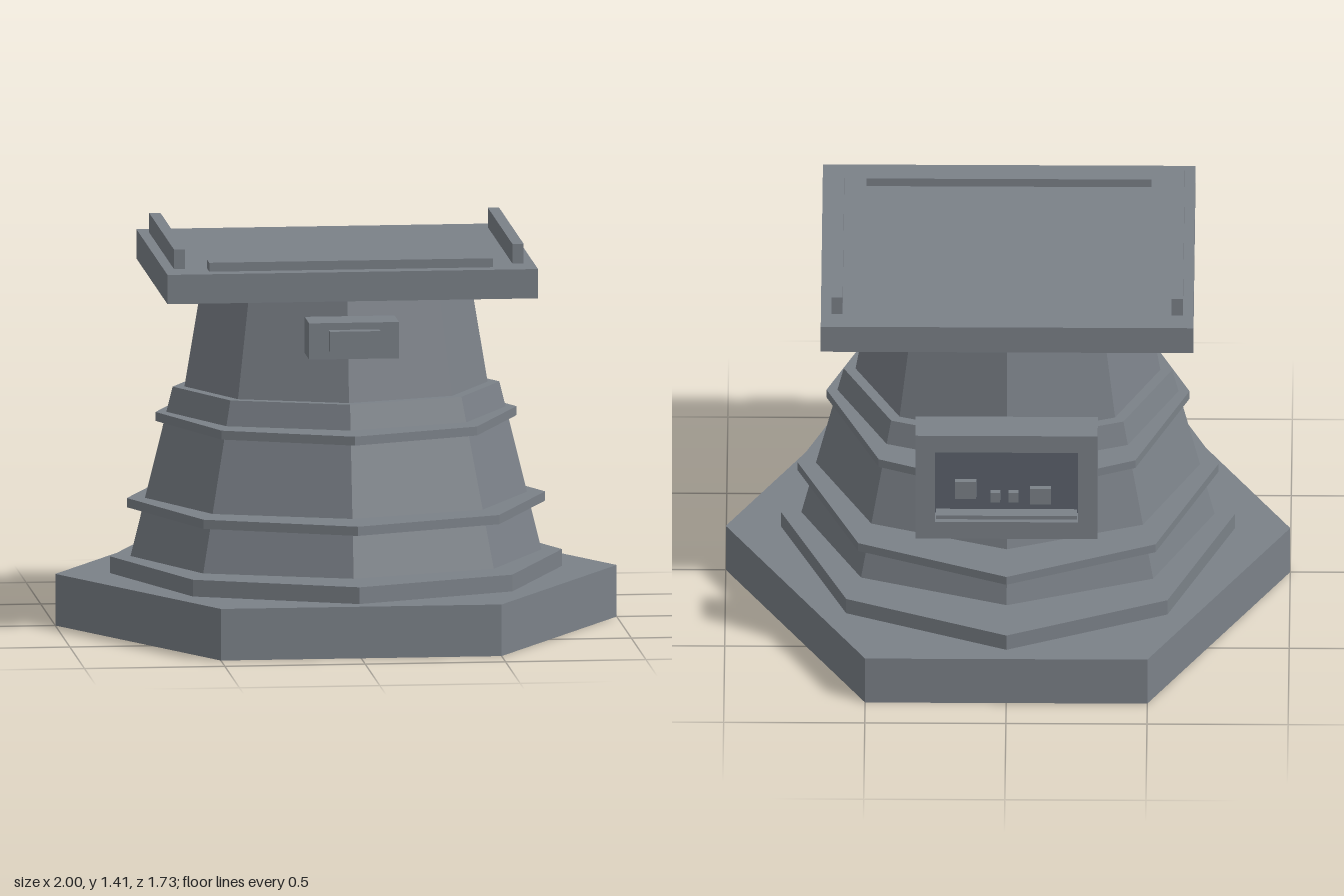
import * as THREE from 'three';

const hull = new THREE.MeshStandardMaterial({ color: 0x7b8188 });
hull.name = 'hull grey';
const screen = new THREE.MeshStandardMaterial({ color: 0x5c626d });
screen.name = 'screen slate';

export function createModel() {
  const model = new THREE.Group();

  const add = (parent, name, geometry, material = hull) => {
    const mesh = new THREE.Mesh(geometry, material);
    mesh.name = name;
    parent.add(mesh);
    return mesh;
  };

  // Box given by its limits on each axis
  const box = (parent, name, [x0, x1], [y0, y1], [z0, z1], material) => {
    const mesh = add(parent, name, new THREE.BoxGeometry(x1 - x0, y1 - y0, z1 - z0), material);
    mesh.position.set((x0 + x1) / 2, (y0 + y1) / 2, (z0 + z1) / 2);
    return mesh;
  };

  // Flat-faced prism or frustum, optionally squashed in z
  const prism = (name, sides, y0, y1, bottom, top, depth = 1, turn = 0) => {
    const g = new THREE.CylinderGeometry(top, bottom, y1 - y0, sides).toNonIndexed();
    g.rotateY(turn);
    g.scale(1, 1, depth);
    g.translate(0, (y0 + y1) / 2, 0);
    g.computeVertexNormals();
    return add(model, name, g);
  };

  // Pedestal: hexagonal foot, octagonal step, tapering body and rings
  prism('foot', 6, 0, 0.185, 1, 1, 1, Math.PI / 2);
  prism('step', 8, 0.185, 0.245, 0.805, 0.805);
  prism('lowerBody', 8, 0.245, 0.85, 0.732, 0.582, 0.828);
  prism('upperBody', 8, 0.85, 1.235, 0.54, 0.476, 0.823);
  prism('lowerRing', 8, 0.42, 0.453, 0.745, 0.745);
  prism('upperRing', 8, 0.728, 0.76, 0.643, 0.643);

  // Platform with side rails and a front lip
  box(model, 'platform', [-0.66, 0.66], [1.235, 1.34], [-0.49, 0.574]);
  for (const s of [-1, 1]) {
    box(model, 'sideRail', [s * 0.603 - 0.02, s * 0.603 + 0.02], [1.34, 1.41], [-0.407, 0.44]);
  }
  box(model, 'frontLip', [-0.505, 0.505], [1.34, 1.372], [0.433, 0.515]);

  // Sensor block below the front edge
  box(model, 'sensorBlock', [-0.16, 0.16], [1.035, 1.165], [0.465, 0.618]);
  box(model, 'sensorLens', [-0.09, 0.09], [1.067, 1.14], [0.618, 0.66]);

  // Control console at the back: four frame bars around a recessed panel
  const consoleGroup = new THREE.Group();
  consoleGroup.name = 'console';
  model.add(consoleGroup);
  box(consoleGroup, 'frameTop', [-0.323, 0.323], [0.965, 1.035], [-0.727, -0.6]);
  box(consoleGroup, 'frameBottom', [-0.323, 0.323], [0.6, 0.67], [-0.723, -0.6]);
  for (const s of [-1, 1]) {
    box(consoleGroup, 'frameSide', [s * 0.288 - 0.035, s * 0.288 + 0.035], [0.67, 0.965], [-0.723, -0.6]);
  }
  box(consoleGroup, 'panel', [-0.253, 0.253], [0.67, 0.965], [-0.66, -0.64], screen);
  box(consoleGroup, 'shelf', [-0.25, 0.25], [0.67, 0.685], [-0.705, -0.66]);

  // Buttons: x, y, width, height
  const buttons = [
    [0.145, 0.775, 0.075, 0.07],
    [0.04, 0.745, 0.035, 0.04],
    [-0.025, 0.745, 0.035, 0.04],
    [-0.12, 0.75, 0.075, 0.065],
  ];
  for (const [x, y, w, h] of buttons) {
    box(consoleGroup, 'button', [x - w / 2, x + w / 2], [y - h / 2, y + h / 2], [-0.68, -0.66]);
  }

  return model;
}
